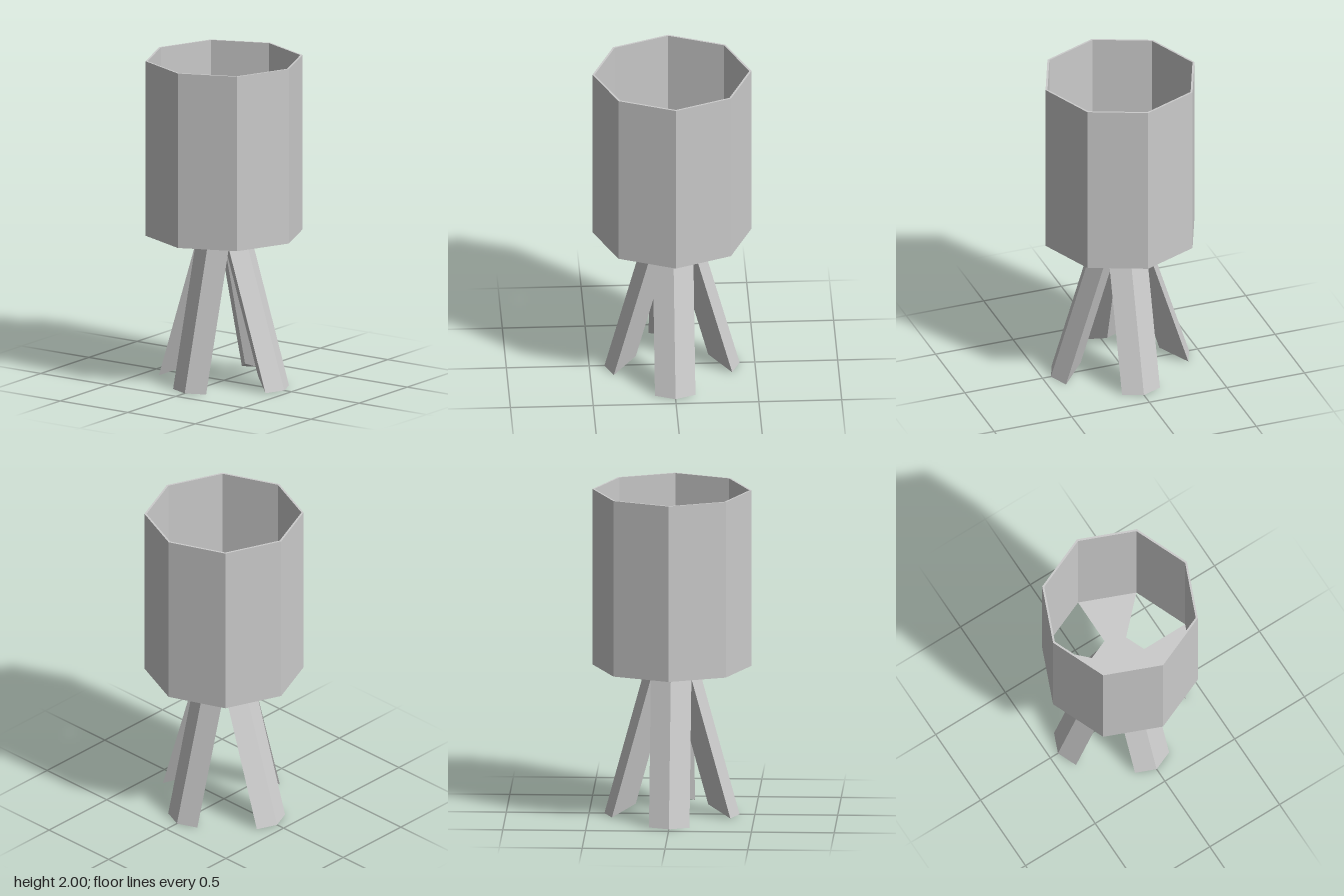
import * as THREE from 'three';

const SIDES = 8;
const WALL_OUT = 0.48, WALL_IN = 0.467, HUB_R = 0.173;
const FLOOR_Y = 0.917, TOP_Y = 2, HUB_Y = 0.86;

const polar = (r, i) => {
  const a = (i * 2 * Math.PI) / SIDES;
  return new THREE.Vector2(r * Math.cos(a), r * Math.sin(a));
};
const ring = (r) => Array.from({ length: SIDES }, (_, i) => polar(r, i));

// Kite-shaped prism leaning outwards along +z, its inner edge cut slightly short
function legGeometry(spread) {
  const c = HUB_R * Math.SQRT1_2;
  const section = [[0, 0], [-c, c], [0, HUB_R], [c, c]];
  const top = section.map(([x, z]) => [x, HUB_Y, z]);
  const bottom = section.map(([x, z], i) => {
    const y = i === 0 ? 0.06 : 0;
    return [x, y, z + spread * (1 - y / HUB_Y)];
  });
  const index = [4, 5, 6, 4, 6, 7, 0, 2, 1, 0, 3, 2];
  for (let i = 0; i < 4; i++) {
    const j = (i + 1) % 4;
    index.push(i, j, j + 4, i, j + 4, i + 4);
  }
  const geo = new THREE.BufferGeometry();
  geo.setAttribute('position', new THREE.Float32BufferAttribute([...bottom, ...top].flat(), 3));
  geo.setIndex(index);
  const flat = geo.toNonIndexed();
  flat.computeVertexNormals();
  return flat;
}

export function createModel() {
  const model = new THREE.Group();
  const solid = new THREE.MeshStandardMaterial({ color: 0xcccccc, flatShading: true });
  const sheet = new THREE.MeshStandardMaterial({ color: 0xcccccc, flatShading: true, side: THREE.DoubleSide });
  const add = (name, geo, mat = solid) => {
    const mesh = new THREE.Mesh(geo, mat);
    mesh.name = name;
    model.add(mesh);
    return mesh;
  };

  // Thin octagonal wall, open at the top
  const wall = new THREE.Shape(ring(WALL_OUT));
  wall.holes.push(new THREE.Path(ring(WALL_IN)));
  const wallGeo = new THREE.ExtrudeGeometry(wall, { depth: TOP_Y - FLOOR_Y, bevelEnabled: false });
  wallGeo.rotateX(-Math.PI / 2).translate(0, FLOOR_Y, 0);
  add('wall', wallGeo);

  // Hub under the floor
  const hubGeo = new THREE.CylinderGeometry(HUB_R, HUB_R, FLOOR_Y - HUB_Y, SIDES);
  add('hub', hubGeo.translate(0, (FLOOR_Y + HUB_Y) / 2, 0));

  // Floor panels on every second side, with gaps between them
  for (let i = 0; i < SIDES; i += 2) {
    const panel = new THREE.Shape([polar(HUB_R, i), polar(WALL_IN, i), polar(WALL_IN, i + 1), polar(HUB_R, i + 1)]);
    const geo = new THREE.ShapeGeometry(panel).rotateX(Math.PI / 2).translate(0, FLOOR_Y, 0);
    add('floorPanel', geo, sheet);
  }

  // Four splayed legs; front and back reach a little further out
  ['frontLeg', 'leftLeg', 'backLeg', 'rightLeg'].forEach((name, i) => {
    add(name, legGeometry(i % 2 ? 0.235 : 0.272)).rotation.y = (i * Math.PI) / 2;
  });

  return model;
}
